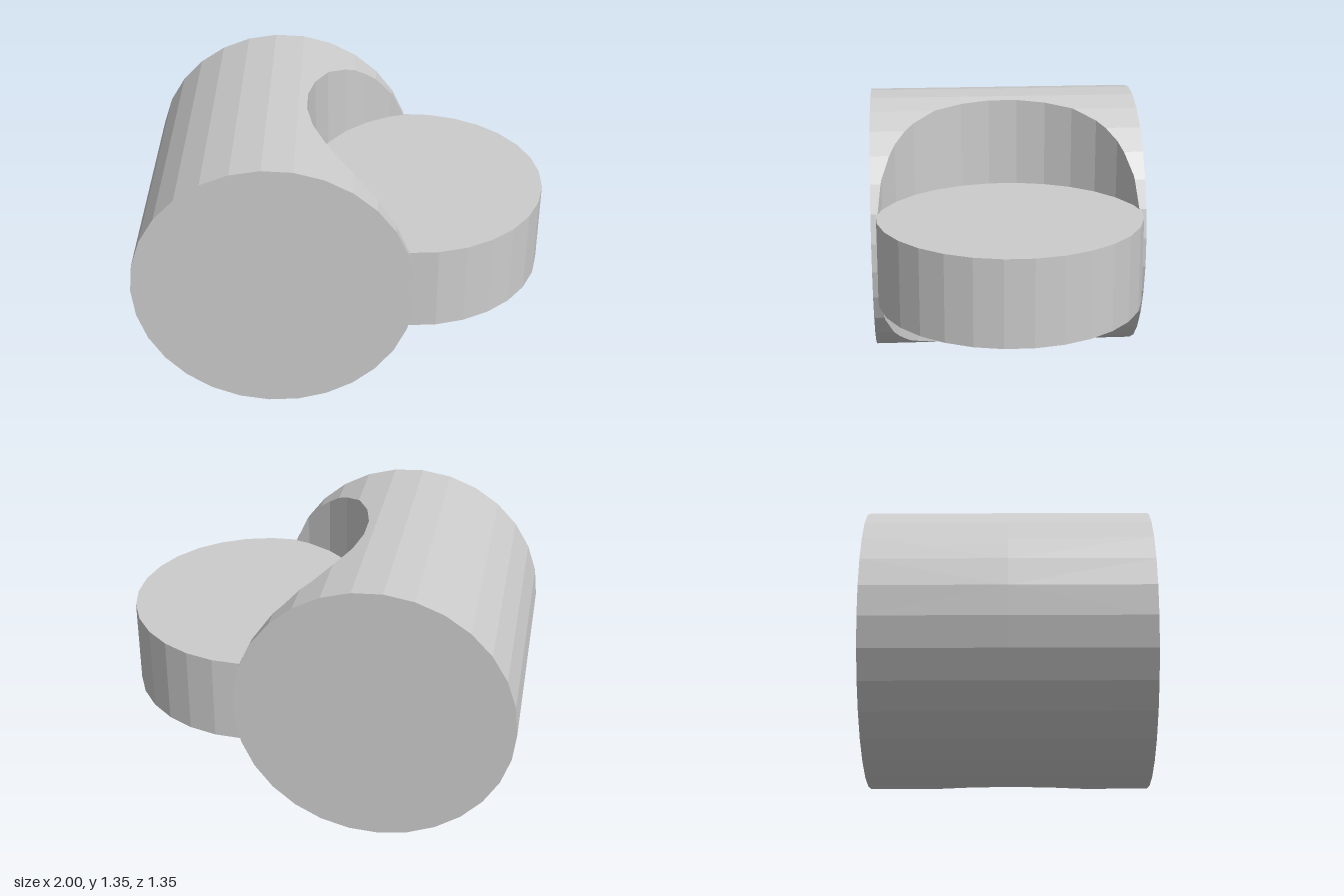
import * as THREE from 'three';

const SIDES = 29, STEP = (Math.PI * 2) / SIDES;
const CY = 0.677, HALF_LEN = 0.675;

// Upper half of a faceted circle, from its left end rightwards, as [x, height].
function halfCircle(cx, r, phase) {
  const pts = [];
  for (let a = phase * STEP; a < Math.PI; a += STEP) pts.push([cx - r * Math.cos(a), r * Math.sin(a)]);
  return pts;
}

// Height of a half circle at x.
function heightAt(pts, x) {
  for (let i = 1; i < pts.length; i++) {
    const [x0, h0] = pts[i - 1], [x1, h1] = pts[i];
    if (x >= x0 - 1e-9 && x <= x1 + 1e-9) return h0 + ((h1 - h0) * (x - x0)) / (x1 - x0);
  }
  return 0;
}

// Horizontal drum with an upright round scoop cut out of its +x side.
function drumGeometry() {
  const outer = halfCircle(-0.322, 0.678, 0);
  const scoop = halfCircle(0.493, 0.667, 0.5);
  const scoopX = scoop[0][0], endX = outer[outer.length - 1][0];
  const xs = [...outer, ...scoop].map((p) => p[0]).filter((x) => x <= endX)
    .sort((a, b) => a - b).filter((x, i, all) => i === 0 || x - all[i - 1] > 1e-5);
  const pos = [];

  // Quad turned so that it faces the given direction.
  function quad(a, b, c, d, nx, ny, nz) {
    const [A, B, C, D] = [a, b, c, d].map((p) => new THREE.Vector3(...p));
    const n = C.clone().sub(A).cross(D.clone().sub(B));
    const order = n.dot(new THREE.Vector3(nx, ny, nz)) > 0 ? [A, B, C, A, C, D] : [A, C, B, A, D, C];
    order.forEach((p) => pos.push(p.x, p.y, p.z));
  }

  for (let i = 1; i < xs.length; i++) {
    const x0 = xs[i - 1], x1 = xs[i];
    const y0 = heightAt(outer, x0), y1 = heightAt(outer, x1);
    const cut = (x0 + x1) / 2 > scoopX;
    const h0 = cut ? heightAt(scoop, x0) : 0, h1 = cut ? heightAt(scoop, x1) : 0;
    for (const s of [1, -1]) {
      const L = s * HALF_LEN;
      // curved skin above and below
      for (const u of [1, -1]) {
        quad([x0, CY + u * y0, s * h0], [x1, CY + u * y1, s * h1],
          [x1, CY + u * y1, L], [x0, CY + u * y0, L], 0, u, 0);
      }
      // flat end, then scoop wall
      const slab = (z0, z1, dir) => quad([x0, CY - y0, z0], [x1, CY - y1, z1],
        [x1, CY + y1, z1], [x0, CY + y0, z0], 0, 0, dir);
      slab(L, L, s);
      if (cut) slab(s * h0, s * h1, -s);
    }
  }

  // upright strip facing +x at a given x
  const strip = (x, z0, z1) => {
    const y = heightAt(outer, x);
    quad([x, CY - y, z0], [x, CY - y, z1], [x, CY + y, z1], [x, CY + y, z0], 1, 0, 0);
  };
  strip(scoopX, -scoop[0][1], scoop[0][1]);
  const rim = heightAt(scoop, endX);
  strip(endX, rim, HALF_LEN);
  strip(endX, -HALF_LEN, -rim);

  const geo = new THREE.BufferGeometry();
  geo.setAttribute('position', new THREE.Float32BufferAttribute(pos, 3));
  geo.computeVertexNormals();
  return geo;
}

export function createModel() {
  const group = new THREE.Group();
  const grey = new THREE.MeshStandardMaterial({ color: 0xcccccc });
  grey.name = 'light grey';

  const drum = new THREE.Mesh(drumGeometry(), grey);
  drum.name = 'scoopedDrum';
  group.add(drum);

  // Flat disc lying in the scoop
  const discGeo = new THREE.CylinderGeometry(0.65, 0.65, 0.43, SIDES, 1, false, -Math.PI / 2).toNonIndexed();
  discGeo.computeVertexNormals();
  const disc = new THREE.Mesh(discGeo, grey);
  disc.name = 'disc';
  disc.position.set(0.354, CY, 0);
  group.add(disc);

  return group;
}
